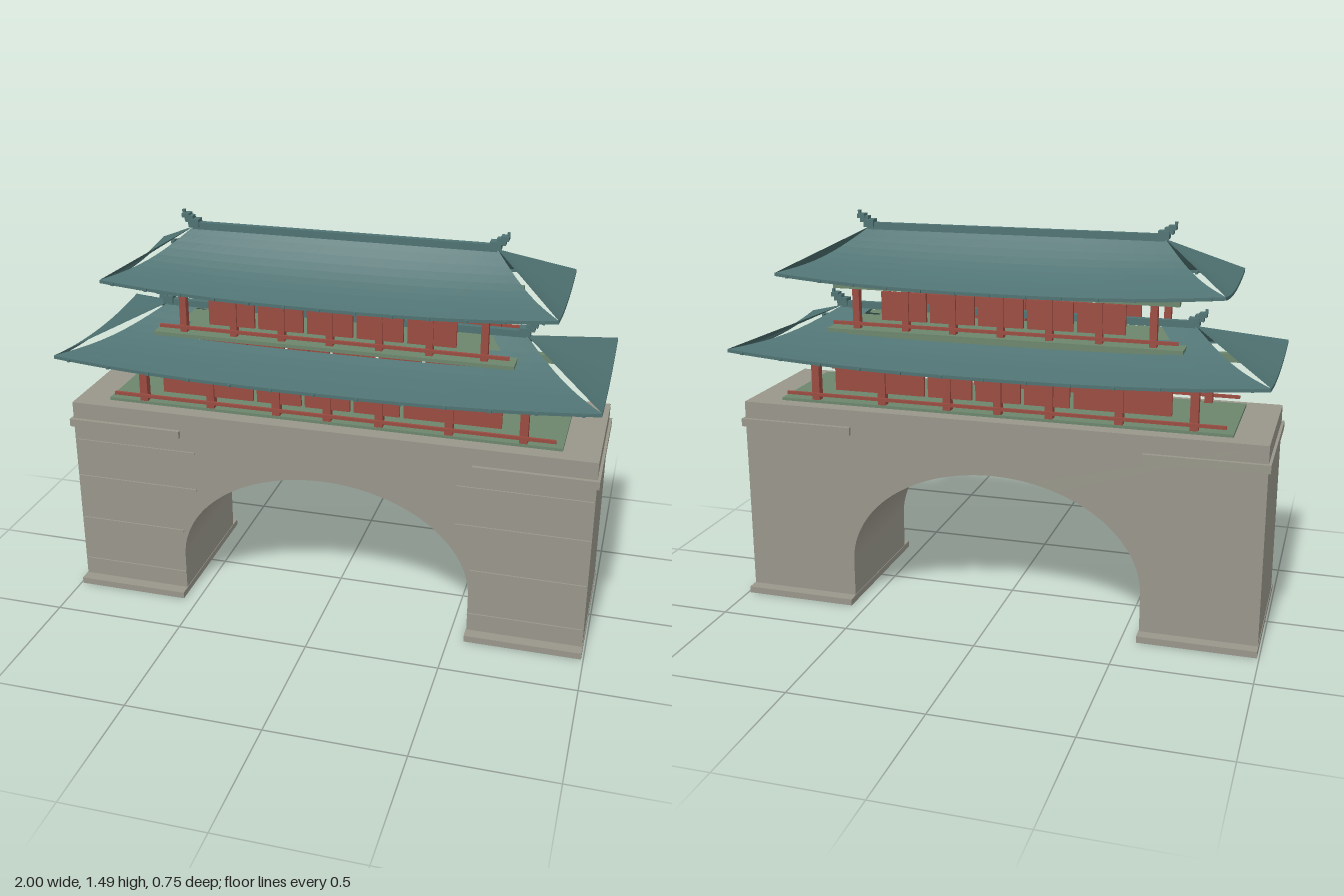
import * as THREE from 'three';

const stone = new THREE.MeshStandardMaterial({ color: 0x99978b });
const tile = new THREE.MeshStandardMaterial({ color: 0x4f7272, side: THREE.DoubleSide });
const red = new THREE.MeshStandardMaterial({ color: 0x9a4b40 });
const green = new THREE.MeshStandardMaterial({ color: 0x6c866c });
stone.name = 'stone';
tile.name = 'roof tile';
red.name = 'red timber';
green.name = 'green timber';

function add(parent, name, geometry, material) {
  const mesh = new THREE.Mesh(geometry, material);
  mesh.name = name;
  parent.add(mesh);
  return mesh;
}

// Box given by its lower and upper limits on each axis
function box(parent, name, material, [x0, x1], [y0, y1], [z0, z1]) {
  const mesh = add(parent, name, new THREE.BoxGeometry(x1 - x0, y1 - y0, z1 - z0), material);
  mesh.position.set((x0 + x1) / 2, (y0 + y1) / 2, (z0 + z1) / 2);
  return mesh;
}

// Faceted grid surface; u runs -1..1, v runs 0..1, cells can be left out
function patch(nu, nv, point, skip = () => false) {
  const pos = [], index = [];
  for (let j = 0; j <= nv; j++)
    for (let i = 0; i <= nu; i++) pos.push(...point((2 * i) / nu - 1, j / nv));
  for (let j = 0; j < nv; j++)
    for (let i = 0; i < nu; i++) {
      if (skip((2 * i + 1) / nu - 1, (j + 0.5) / nv)) continue;
      const a = j * (nu + 1) + i, b = a + 1, c = a + nu + 1, d = c + 1;
      index.push(a, b, d, a, d, c);
    }
  const indexed = new THREE.BufferGeometry();
  indexed.setAttribute('position', new THREE.Float32BufferAttribute(pos, 3));
  indexed.setIndex(index);
  const geometry = indexed.toNonIndexed();
  geometry.computeVertexNormals();
  return geometry;
}

// Hipped roof with sagging long slopes, lifted corners, ridge and stepped finials
function roof(name, { ex, ez, rx, mid, endMid, corner, ridge, sag, opening, rafters }) {
  const group = new THREE.Group();
  group.name = name;
  const mix = THREE.MathUtils.lerp;
  const frontEave = (u) => mid + (corner - mid) * Math.abs(u) ** 2.5;
  const endEave = (u) => endMid + (corner - endMid) * u * u;
  const front = (u, v) => [
    u * mix(ex, rx, v),
    mix(frontEave(u), ridge, v) - sag * Math.sin(Math.PI * v),
    ez * (1 - v),
  ];
  const end = (u, v) => [mix(ex, rx, v), mix(endEave(u), ridge, v), -u * ez * (1 - v)];
  const drop = 0.012;
  const hole = (u, v) => v > 0.6 && Math.abs(u) * mix(ex, rx, v) < opening;

  const longSlope = patch(32, 10, front, hole);
  const endSlope = patch(12, 6, end);
  const longEdge = patch(32, 1, (u, v) => [u * ex, frontEave(u) - drop * (1 - v), ez]);
  const endEdge = patch(12, 1, (u, v) => [ex, endEave(u) - drop * (1 - v), -u * ez]);
  for (const turn of [0, Math.PI]) {
    const side = new THREE.Group();
    side.name = 'roofSide';
    side.rotation.y = turn;
    group.add(side);
    add(side, 'longSlope', longSlope, tile);
    add(side, 'endSlope', endSlope, tile);
    add(side, 'longEaveEdge', longEdge, tile);
    add(side, 'endEaveEdge', endEdge, tile);
    // Rafter tips along the eave
    for (let i = 0; i < rafters; i++) {
      const u = ((2 * i) / (rafters - 1) - 1) * 0.94, x = u * ex, y = frontEave(u);
      box(side, 'rafterTip', tile, [x - 0.005, x + 0.005], [y - 0.012, y - 0.002], [ez - 0.03, ez + 0.007]);
    }
    // Stepped finial at the ridge end
    box(side, 'finialBase', tile, [rx - 0.025, rx + 0.015], [ridge, ridge + 0.03], [-0.02, 0.02]);
    box(side, 'finialStep', tile, [rx - 0.002, rx + 0.03], [ridge + 0.018, ridge + 0.042], [-0.015, 0.015]);
    box(side, 'finialHead', tile, [rx + 0.012, rx + 0.04], [ridge + 0.034, ridge + 0.05], [-0.018, 0.018]);
    box(side, 'finialTip', tile, [rx + 0.032, rx + 0.042], [ridge + 0.045, ridge + 0.062], [-0.006, 0.006]);
  }
  box(group, 'ridgeBar', tile, [-rx, rx], [ridge - 0.008, ridge + 0.018], [-0.012, 0.012]);
  return group;
}

// Open timber storey: floor, columns, wall panels, rails and top beams
function storey(name, o) {
  const group = new THREE.Group();
  group.name = name;
  box(group, 'floor', green, [-o.floorX, o.floorX], o.floorY, [-o.floorZ, o.floorZ]);
  for (const s of [1, -1]) {
    const z = s * o.z, h = o.post / 2;
    for (const x of o.columns)
      box(group, 'column', red, [x - h, x + h], [o.floorY[1], o.beamY[0]], [z - h, z + h]);
    for (const [a, b] of o.panels)
      box(group, 'wallPanel', red, [a, b], o.panelY, [z - 0.006, z + 0.006]);
    box(group, 'topBeam', green, [-o.beamX, o.beamX], o.beamY, [z - h, z + h]);
    const r = s * (o.z + h + 0.003);
    box(group, 'rail', red, [-o.railX, o.railX], o.railY, [r - 0.005, r + 0.005]);
  }
  return group;
}

const mirrored = (list) => [...list, ...list.filter((x) => x !== 0).map((x) => -x)];
const mirroredSpans = (list) => [[-0.085, 0.085], ...list, ...list.map(([a, b]) => [-b, -a])];

export function createModel() {
  const model = new THREE.Group();
  model.name = 'gatehouse';

  // Stone gate with an elliptical archway
  const gate = new THREE.Group();
  gate.name = 'stoneGate';
  model.add(gate);
  const outline = new THREE.Shape();
  outline.moveTo(-0.99, 0);
  outline.lineTo(-0.56, 0);
  outline.lineTo(-0.56, 0.17);
  outline.absellipse(0, 0.17, 0.56, 0.4, Math.PI, 0, true);
  outline.lineTo(0.56, 0);
  outline.lineTo(0.99, 0);
  outline.lineTo(0.99, 0.775);
  outline.lineTo(-0.99, 0.775);
  const body = new THREE.ExtrudeGeometry(outline, { depth: 0.53, bevelEnabled: false, curveSegments: 32 });
  add(gate, 'archedWall', body.translate(0, 0, -0.265), stone);
  for (const s of [1, -1]) {
    const span = (a, b) => (s > 0 ? [a, b] : [-b, -a]);
    box(gate, 'plinth', stone, span(0.558, 0.992), [0, 0.025], [-0.31, 0.31]);
    box(gate, 'upperBand', stone, span(0.555, 1), [0.68, 0.71], [-0.28, 0.28]);
    // Thin courses on the front of each pier
    for (const y of [0.095, 0.28, 0.465, 0.62])
      box(gate, 'stoneCourse', stone, span(y > 0.4 ? 0.5 : 0.56, 0.985), [y - 0.004, y + 0.004], [0.26, 0.271]);
  }

  model.add(storey('lowerStorey', {
    floorX: 0.86, floorY: [0.775, 0.786], floorZ: 0.205, z: 0.188, post: 0.03,
    columns: mirrored([0, 0.195, 0.452, 0.72]),
    panels: mirroredSpans([[0.1, 0.27], [0.285, 0.64]]), panelY: [0.83, 0.945],
    beamX: 0.835, beamY: [0.95, 0.982], railX: 0.835, railY: [0.803, 0.815],
  }));
  model.add(roof('lowerRoof', {
    ex: 0.99, ez: 0.37, rx: 0.685, mid: 0.967, endMid: 0.978, corner: 1.005, ridge: 1.118,
    sag: 0.027, opening: 0.58, rafters: 13,
  }));
  model.add(storey('upperStorey', {
    floorX: 0.67, floorY: [1.052, 1.066], floorZ: 0.185, z: 0.15, post: 0.026,
    columns: mirrored([0, 0.182, 0.365, 0.56]),
    panels: mirroredSpans([[0.1, 0.27], [0.285, 0.46]]), panelY: [1.103, 1.21],
    beamX: 0.65, beamY: [1.215, 1.25], railX: 0.65, railY: [1.08, 1.092],
  }));
  model.add(roof('upperRoof', {
    ex: 0.82, ez: 0.293, rx: 0.565, mid: 1.252, endMid: 1.26, corner: 1.285, ridge: 1.425,
    sag: 0.027, opening: 0, rafters: 13,
  }));
  return model;
}
